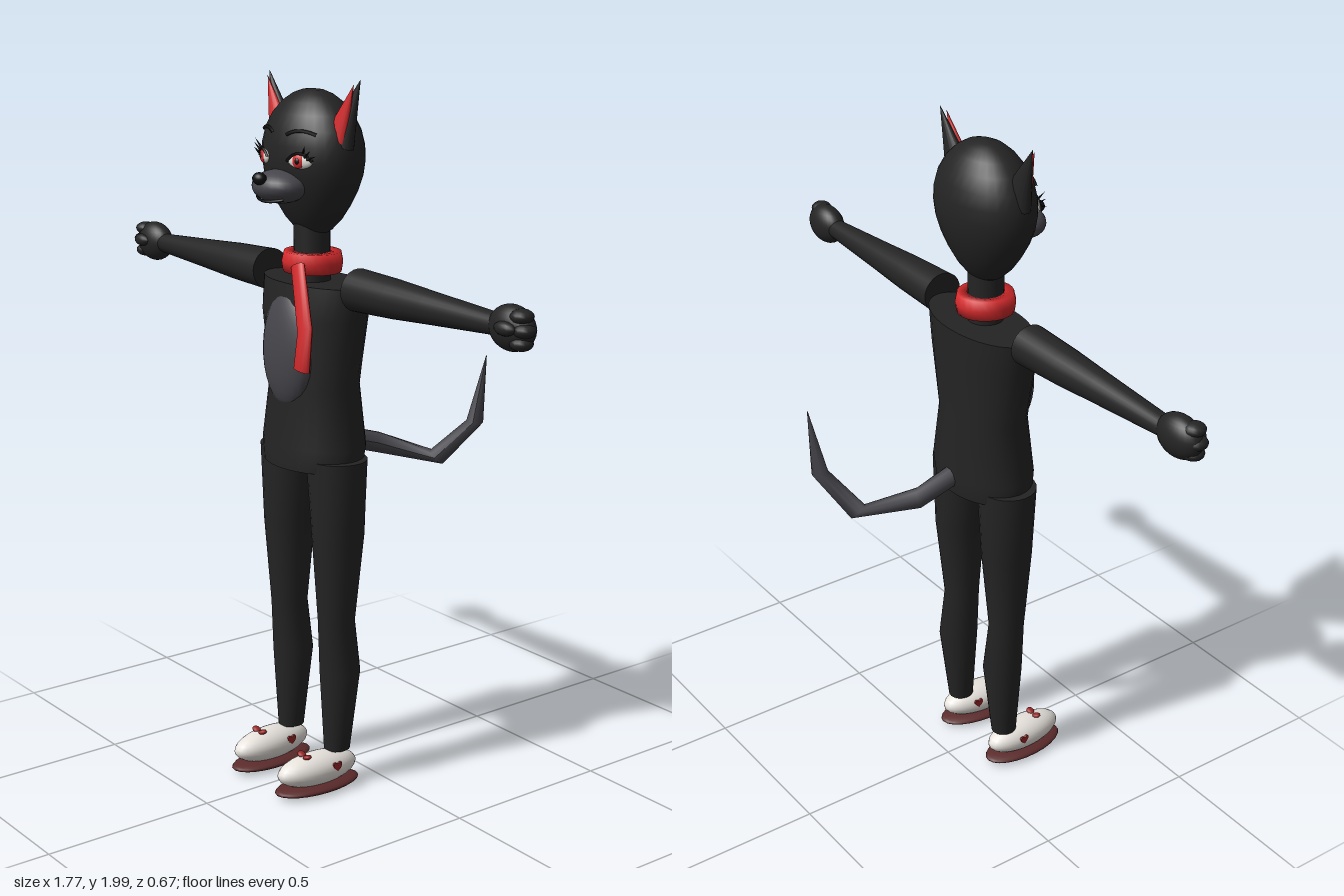
import * as THREE from 'three';

const mat = (name, color, side = THREE.FrontSide) => {
  const m = new THREE.MeshStandardMaterial({ color, side });
  m.name = name;
  return m;
};
const M = {
  fur: mat('charcoal fur', 0x242424),
  grey: mat('grey fur', 0x45454b),
  red: mat('bright red', 0xd42a2c),
  white: mat('off white', 0xe8e3dd),
  sole: mat('dark maroon', 0x5c2b2b),
  trim: mat('deep red', 0x9a2626, THREE.DoubleSide),
  black: mat('black', 0x0e0e0e),
};

const add = (parent, name, geo, material, pos = [0, 0, 0], rot = [0, 0, 0]) => {
  const m = new THREE.Mesh(geo, material);
  m.name = name;
  m.position.set(...pos);
  m.rotation.set(...rot);
  parent.add(m);
  return m;
};
const ball = (rx, ry, rz, w = 24, h = 16) => new THREE.SphereGeometry(1, w, h).scale(rx, ry, rz);

// Stacked elliptical rings [y, x, z, rx, rz], bottom to top, with flat caps
function loft(rings, n = 24) {
  const pos = [], idx = [];
  const ring = ([y, x, z, rx, rz]) => {
    for (let j = 0; j < n; j++) {
      const a = (j / n) * Math.PI * 2;
      pos.push(x + Math.sin(a) * rx, y, z + Math.cos(a) * rz);
    }
  };
  rings.forEach(ring);
  for (let i = 0; i < rings.length - 1; i++) {
    for (let j = 0; j < n; j++) {
      const a = i * n + j, b = i * n + ((j + 1) % n);
      idx.push(a, b, b + n, a, b + n, a + n);
    }
  }
  [[rings[0], false], [rings[rings.length - 1], true]].forEach(([r, top]) => {
    const s = pos.length / 3;
    ring(r);
    for (let j = 1; j < n - 1; j++) idx.push(...(top ? [s, s + j, s + j + 1] : [s, s + j + 1, s + j]));
  });
  const g = new THREE.BufferGeometry();
  g.setAttribute('position', new THREE.Float32BufferAttribute(pos, 3));
  g.setIndex(idx);
  g.computeVertexNormals();
  return g;
}

// Straight segments between points
class Polyline extends THREE.Curve {
  constructor(pts) {
    super();
    this.pts = pts.map((p) => new THREE.Vector3(...p));
  }
  getPoint(t, out = new THREE.Vector3()) {
    const f = t * (this.pts.length - 1);
    const i = Math.min(Math.floor(f), this.pts.length - 2);
    return out.lerpVectors(this.pts[i], this.pts[i + 1], f - i);
  }
  getPointAt(t, out) { return this.getPoint(t, out); }
}

// Tube along a polyline with its own radius at each point, flattened in z
function taperTube(pts, radii, flat = 1, sides = 10) {
  const path = new Polyline(pts);
  const g = new THREE.TubeGeometry(path, pts.length - 1, 1, sides);
  const p = g.attributes.position, v = new THREE.Vector3();
  for (let i = 0; i < p.count; i++) {
    const k = Math.floor(i / (sides + 1)), c = path.pts[k];
    v.fromBufferAttribute(p, i).sub(c).multiplyScalar(radii[k]);
    p.setXYZ(i, c.x + v.x, c.y + v.y, c.z + v.z * flat);
  }
  g.computeVertexNormals();
  return g;
}

function heart(s) {
  const h = new THREE.Shape();
  h.moveTo(0, -s);
  h.bezierCurveTo(-1.6 * s, 0.1 * s, -0.9 * s, 1.3 * s, 0, 0.5 * s);
  h.bezierCurveTo(0.9 * s, 1.3 * s, 1.6 * s, 0.1 * s, 0, -s);
  return new THREE.ExtrudeGeometry(h, { depth: 0.006, bevelEnabled: false, curveSegments: 6 });
}

function makeHead() {
  const g = new THREE.Group();
  g.name = 'head';
  const profile = [[1.575, 0.035], [1.59, 0.062], [1.62, 0.095], [1.66, 0.125], [1.7, 0.148], [1.74, 0.164], [1.78, 0.171],
    [1.82, 0.169], [1.86, 0.157], [1.9, 0.132], [1.93, 0.1], [1.95, 0.066], [1.96, 0.035], [1.963, 0.004]];
  add(g, 'skull', loft(profile.map(([y, r]) => [y, 0, 0.12, r, r * 0.69]), 32), M.fur);
  add(g, 'muzzle', ball(0.086, 0.045, 0.07), M.grey, [0, 1.712, 0.23]);
  add(g, 'nose', ball(0.022, 0.017, 0.018), M.black, [0, 1.737, 0.296]);
  const mouth = new THREE.QuadraticBezierCurve3(
    new THREE.Vector3(-0.06, 1.684, 0.262), new THREE.Vector3(0, 1.668, 0.3), new THREE.Vector3(0.06, 1.684, 0.262));
  add(g, 'mouth', new THREE.TubeGeometry(mouth, 10, 0.004, 6), M.black);

  for (const s of [-1, 1]) {
    // Eye layers sit flush on the curve of the face
    const eye = new THREE.Group();
    eye.name = s > 0 ? 'leftEye' : 'rightEye';
    eye.position.set(s * 0.08, 1.785, 0.221);
    eye.rotation.y = s * 0.36;
    add(eye, 'eyeWhite', ball(0.038, 0.02, 0.011), M.white);
    add(eye, 'iris', ball(0.018, 0.019, 0.008), M.red, [-s * 0.003, 0, 0.006]);
    add(eye, 'pupil', ball(0.008, 0.009, 0.005), M.black, [-s * 0.003, 0, 0.011]);
    const lid = new THREE.QuadraticBezierCurve3(
      new THREE.Vector3(-0.04, -0.002, 0.004), new THREE.Vector3(0, 0.042, 0.012), new THREE.Vector3(0.04, 0, 0.004));
    add(eye, 'upperLid', new THREE.TubeGeometry(lid, 10, 0.004, 6), M.black);
    for (let i = 0; i < 3; i++) {
      add(eye, 'eyelash', new THREE.ConeGeometry(0.004, 0.034, 6), M.black,
        [s * (0.043 - i * 0.012), 0.012 + i * 0.01, 0.013], [0.5, 0, -s * (1.2 - i * 0.35)]);
    }
    g.add(eye);

    const brow = new THREE.QuadraticBezierCurve3(
      new THREE.Vector3(s * 0.03, 1.85, 0.228), new THREE.Vector3(s * 0.07, 1.873, 0.219), new THREE.Vector3(s * 0.118, 1.853, 0.196));
    add(g, 'eyebrow', new THREE.TubeGeometry(brow, 10, 0.005, 6), M.black);

    // Ear: flattened cone leaning outward, with a red lining in front
    const ear = new THREE.Group();
    ear.name = s > 0 ? 'leftEar' : 'rightEar';
    ear.position.set(s * 0.166, 1.917, 0.122);
    ear.rotation.set(-0.06, 0, -s * 0.42);
    add(ear, 'earShell', new THREE.ConeGeometry(0.052, 0.18, 16).scale(1, 1, 0.55), M.fur);
    add(ear, 'earLining', new THREE.ConeGeometry(0.04, 0.155, 16).scale(1, 1, 0.5), M.red, [-s * 0.004, -0.004, 0.013]);
    g.add(ear);
  }
  return g;
}

function makeArm(s) {
  const g = new THREE.Group();
  g.name = s > 0 ? 'leftArm' : 'rightArm';
  const sleeve = loft([[0.2, 0, 0, 0.058, 0.06], [0.36, 0, 0, 0.052, 0.053], [0.5, 0, 0, 0.043, 0.043], [0.75, 0, 0, 0.028, 0.028]]);
  add(g, 'sleeve', sleeve, M.fur, [0, 1.45, 0.122], [0, 0, -s * Math.PI / 2]);
  add(g, 'palm', ball(0.074, 0.058, 0.042), M.fur, [s * 0.804, 1.45, 0.122]);
  for (let i = 0; i < 3; i++) {
    add(g, 'finger', ball(0.03, 0.019, 0.03, 14, 10), M.fur, [s * (i === 1 ? 0.856 : 0.846), 1.485 - i * 0.033, 0.13]);
  }
  add(g, 'thumb', ball(0.035, 0.018, 0.018, 14, 10), M.fur, [s * 0.818, 1.455, 0.16]);
  return g;
}

function makeLeg(s) {
  const g = new THREE.Group();
  g.name = s > 0 ? 'leftLeg' : 'rightLeg';
  add(g, 'trouser', loft([[0.115, s * 0.111, 0.128, 0.035, 0.038], [0.35, s * 0.112, 0.118, 0.057, 0.058],
    [0.5, s * 0.112, 0.13, 0.05, 0.053], [0.75, s * 0.114, 0.125, 0.068, 0.076], [0.97, s * 0.108, 0.125, 0.088, 0.083]]), M.fur);
  const shoe = new THREE.Group();
  shoe.name = 'shoe';
  shoe.position.set(s * 0.112, 0, 0.2);
  shoe.rotation.y = -s * 0.05;
  add(shoe, 'upper', ball(0.055, 0.047, 0.128), M.white, [0, 0.073, 0]);
  add(shoe, 'sole', ball(0.063, 0.017, 0.136), M.sole, [0, 0.024, 0]);
  for (const k of [-1, 1]) {
    add(shoe, 'sideHeart', heart(0.015), M.trim, [k * 0.048, 0.087, -0.036], [0, k * Math.PI / 2, 0]);
    add(shoe, 'bowLoop', ball(0.014, 0.007, 0.012, 10, 8), M.trim, [k * 0.014, 0.119, 0.042], [0, 0, k * 0.3]);
  }
  g.add(shoe);
  return g;
}

export function createModel() {
  const model = new THREE.Group();
  model.name = 'catFigure';

  // Body
  add(model, 'torso', loft([[0.94, 0, 0.125, 0.168, 0.118], [1.0, 0, 0.122, 0.176, 0.122], [1.17, 0, 0.12, 0.148, 0.109],
    [1.36, 0, 0.118, 0.19, 0.112], [1.45, 0, 0.11, 0.2, 0.105]], 32), M.fur);
  add(model, 'bellyPatch', ball(0.104, 0.165, 0.05), M.grey, [0, 1.27, 0.203], [-0.05, 0, 0]);
  add(model, 'neck', new THREE.CylinderGeometry(0.05, 0.05, 0.2, 20), M.fur, [0, 1.51, 0.125]);

  // Scarf
  const band = [[0.05, 0], [0.08, 0], [0.084, 0.028], [0.078, 0.055], [0.05, 0.055], [0.05, 0]].map((p) => new THREE.Vector2(...p));
  add(model, 'scarfBand', new THREE.LatheGeometry(band, 24), M.red, [0, 1.475, 0.125], [0, 0, -0.03]);
  add(model, 'scarfTail', taperTube(
    [[0.04, 1.502, 0.202], [0.041, 1.5, 0.203], [0.122, 1.34, 0.24], [0.11, 1.232, 0.243], [0.11, 1.228, 0.243]],
    [0, 0.028, 0.031, 0.032, 0], 0.45), M.red);

  // Tail
  add(model, 'tail', taperTube(
    [[0, 0.995, 0.03], [0, 0.955, -0.1], [0.1, 0.91, -0.24], [0.182, 1.02, -0.31], [0.204, 1.212, -0.33]],
    [0.03, 0.03, 0.028, 0.024, 0.001]), M.grey);

  model.add(makeHead());
  for (const s of [-1, 1]) model.add(makeArm(s), makeLeg(s));
  return model;
}
